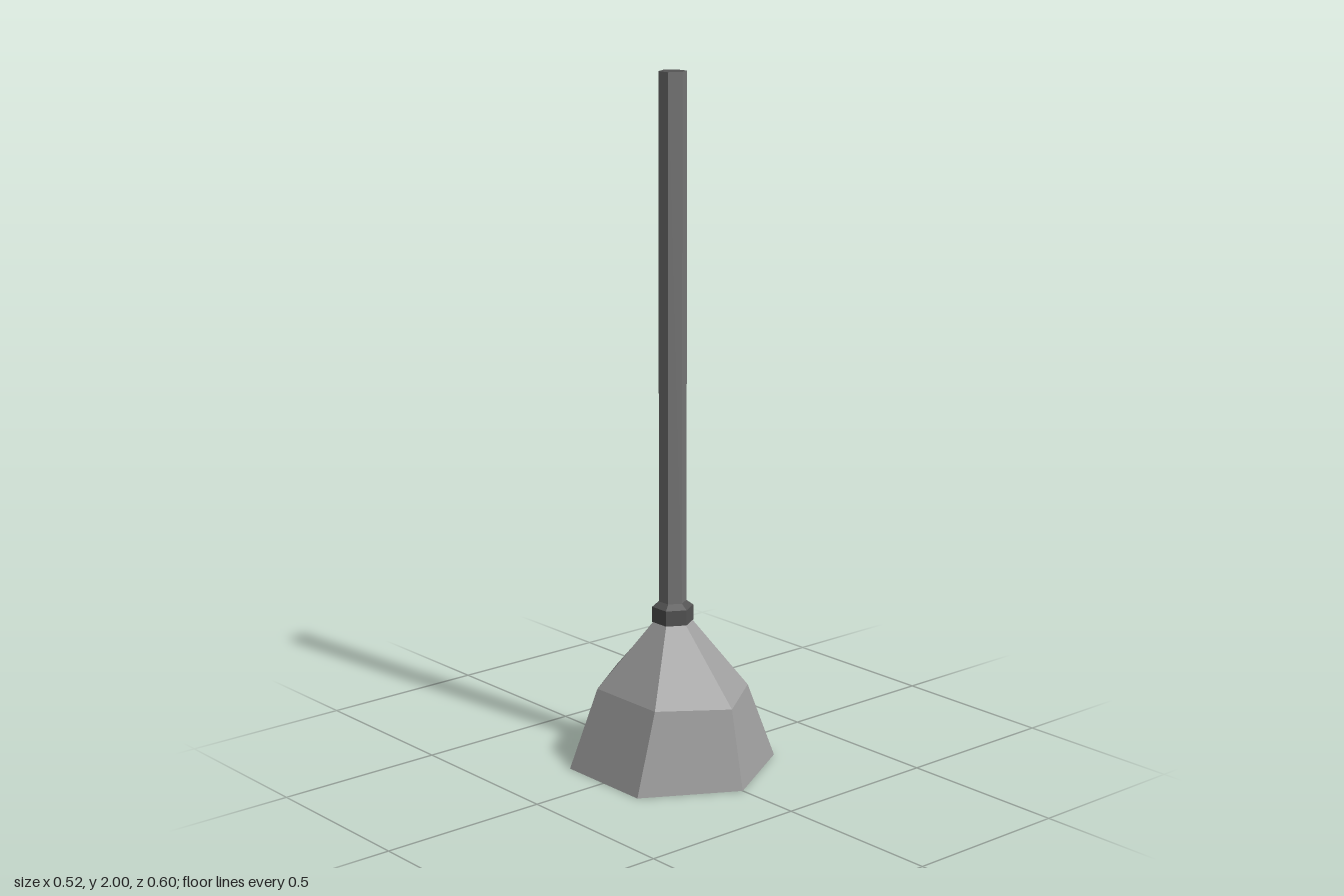
import * as THREE from 'three';

// Give each four-sided facet (two triangles in a row) one shared normal
function facet(geometry) {
  const flat = geometry.toNonIndexed();
  flat.computeVertexNormals();
  const normals = flat.attributes.normal;
  const sum = new THREE.Vector3();
  const n = new THREE.Vector3();
  for (let i = 0; i < normals.count; i += 6) {
    sum.set(0, 0, 0);
    for (let j = i; j < i + 6; j++) sum.add(n.fromBufferAttribute(normals, j));
    sum.normalize();
    for (let j = i; j < i + 6; j++) normals.setXYZ(j, sum.x, sum.y, sum.z);
  }
  return flat;
}

// Six-sided turned part from [radius, height] pairs, corners on the z axis.
// The ring at pinchY, if any, is squeezed sideways.
function hexPart(name, color, profile, pinchY = -1) {
  const points = profile.map(([r, y]) => new THREE.Vector2(r, y));
  const geometry = new THREE.LatheGeometry(points, 6);
  const pos = geometry.attributes.position;
  for (let i = 0; i < pos.count; i++) {
    if (Math.abs(pos.getY(i) - pinchY) < 1e-4) pos.setX(i, pos.getX(i) * 0.8);
  }
  const mesh = new THREE.Mesh(facet(geometry), new THREE.MeshStandardMaterial({ color }));
  mesh.name = name;
  return mesh;
}

export function createModel() {
  const model = new THREE.Group();
  model.name = 'plunger';

  const rubber = 0x9f9f9f;
  const wood = 0x767676;
  const dark = 0x545454;

  model.add(
    // Cup with a rim and a shallow recess underneath
    hexPart('cup', rubber, [[0.26, 0.04], [0.26, 0], [0.302, 0], [0.255, 0.23], [0.057, 0.43]], 0.23),
    hexPart('cupFloor', 0xcccccc, [[0, 0.04], [0.26, 0.04]]),
    // Collar with a bevelled top
    hexPart('collar', dark, [[0, 0.43], [0.06, 0.43], [0.06, 0.475], [0.04, 0.49]]),
    // Long handle and its flat end
    hexPart('handle', wood, [[0.04, 0.48], [0.04, 2]]),
    hexPart('handleEnd', dark, [[0.04, 2], [0, 2]]),
  );
  return model;
}
